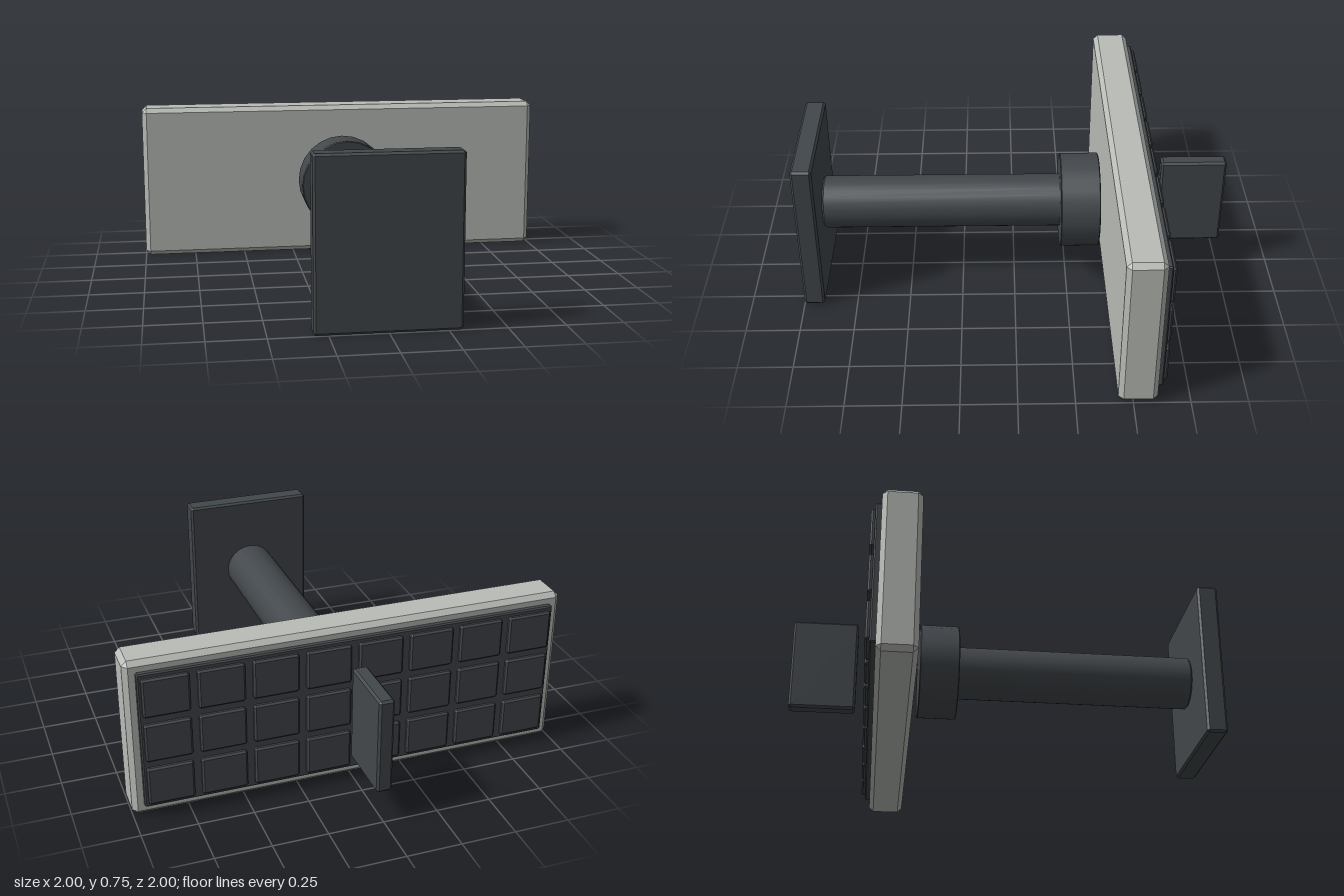
import * as THREE from 'three';
import { ConvexGeometry } from 'three/addons/geometries/ConvexGeometry.js';

const dark = new THREE.MeshStandardMaterial({ color: 0x42474b });
dark.name = 'dark slate';
const pale = new THREE.MeshStandardMaterial({ color: 0xb9bcb7 });
pale.name = 'pale grey';

// Box with every edge chamfered by c, from the hull of its 24 corner points
function chamferBox(w, h, d, c) {
  const points = [];
  for (const x of [-1, 1]) for (const y of [-1, 1]) for (const z of [-1, 1]) {
    for (let axis = 0; axis < 3; axis++) {
      const inset = [c, c, c];
      inset[axis] = 0;
      points.push(new THREE.Vector3(
        x * (w / 2 - inset[0]), y * (h / 2 - inset[1]), z * (d / 2 - inset[2])));
    }
  }
  return new ConvexGeometry(points);
}

// Round bar along z with a thin chamfer at both ends
function roundBar(radius, length, c) {
  const h = length / 2, r = radius;
  const rings = [[0, -h], [r - c, -h], [r, -h + c], [r, h - c], [r - c, h], [0, h]];
  const group = new THREE.Group();
  // one lathe per band keeps the edges sharp and the sides smooth
  for (let i = 0; i < rings.length - 1; i++) {
    const band = [rings[i], rings[i + 1]].map(p => new THREE.Vector2(...p));
    const mesh = new THREE.Mesh(new THREE.LatheGeometry(band, 24), dark);
    mesh.rotation.x = Math.PI / 2;
    group.add(mesh);
  }
  return group;
}

export function createModel() {
  const model = new THREE.Group();
  const midY = 0.377;

  function add(object, name, x, y, z, parent = model) {
    object.name = name;
    object.position.set(x, y, z);
    parent.add(object);
    return object;
  }
  const block = (w, h, d, c, mat) => new THREE.Mesh(chamferBox(w, h, d, c), mat);

  // Square end plate, stem and collar
  add(block(0.624, 0.75, 0.096, 0.01, dark), 'frontPlate', 0, 0.375, 0.952);
  add(roundBar(0.125, 1.13, 0.008), 'stem', 0, midY, 0.34);
  add(roundBar(0.223, 0.184, 0.004), 'collar', 0, midY, -0.309);

  // Wide main panel
  add(block(2, 0.75, 0.172, 0.022, pale), 'mainPanel', 0, 0.375, -0.521);

  // Backing tray with a grid of raised tiles
  add(block(1.9, 0.65, 0.034, 0.006, dark), 'backTray', 0, midY, -0.615);
  const tiles = add(new THREE.Group(), 'tiles', 0, midY, -0.635);
  const tile = chamferBox(0.204, 0.18, 0.03, 0.008);
  for (let row = -1; row <= 1; row++) {
    for (let col = 0; col < 8; col++) {
      add(new THREE.Mesh(tile, dark), 'tile', (col - 3.5) * 0.238, row * 0.215, 0, tiles);
    }
  }

  // Upright blade standing clear of the tray
  add(block(0.07, 0.445, 0.308, 0.01, dark), 'rearBlade', 0, midY, -0.846);

  return model;
}
